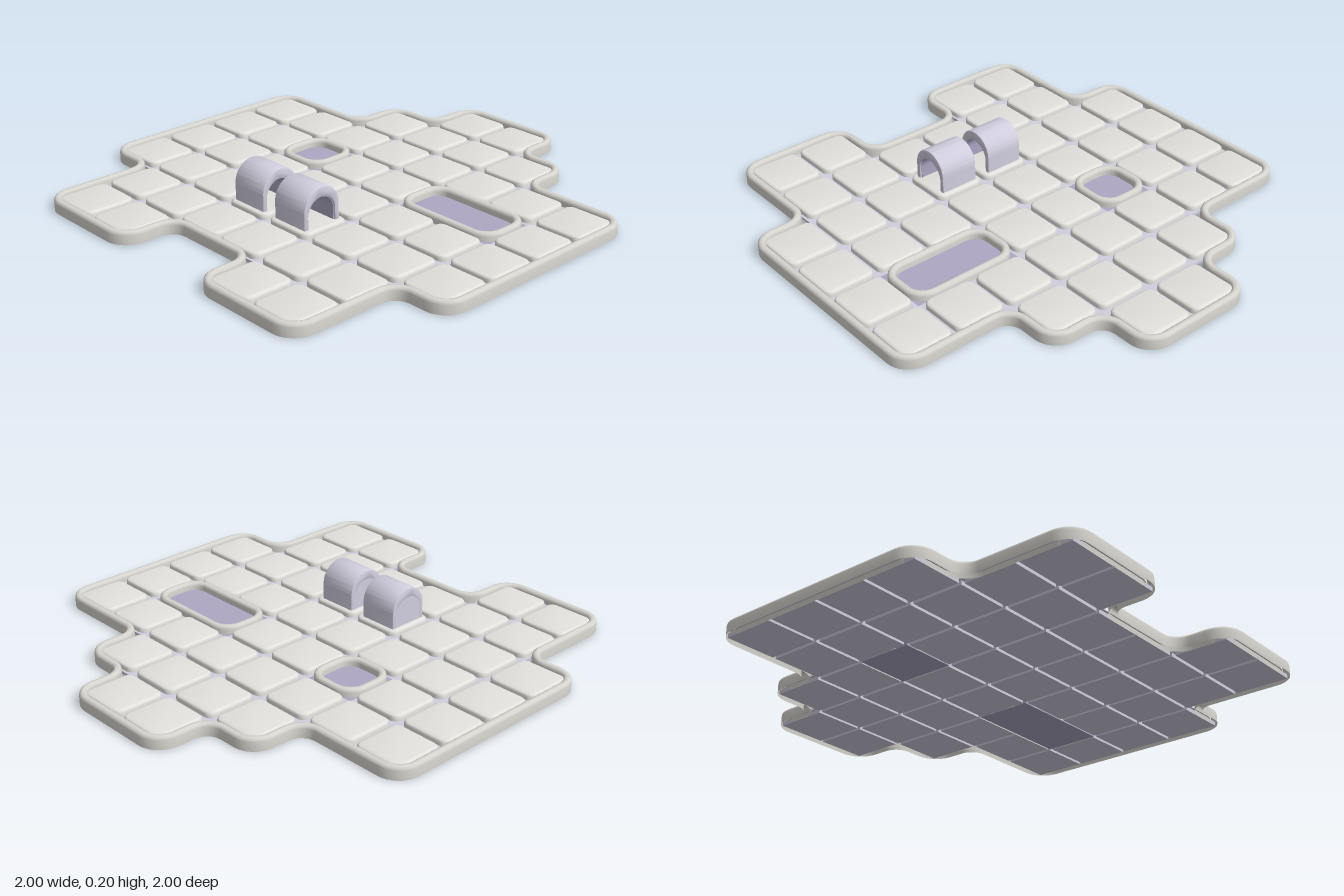
import * as THREE from 'three';
import { mergeGeometries, toCreasedNormals } from 'three/addons/utils/BufferGeometryUtils.js';

const CELL = 0.243;
const mat = (name, color, side = THREE.FrontSide) =>
  Object.assign(new THREE.MeshStandardMaterial({ color, side }), { name });
const tileGrey = mat('tile grey', 0xe2e1dd);
const rimGrey = mat('rim grey', 0xd6d4ce, THREE.DoubleSide);
const lavender = mat('lavender', 0xd0cede, THREE.DoubleSide);
const purple = mat('deep purple', 0xada7c3);

// Right-angled outline in (x, z) with rounded corners; each sample carries its outward direction
function roundedPath(corners, offset, convexR, concaveR, steps = 8) {
  const out = [];
  const n = corners.length;
  corners.forEach(([x, z], i) => {
    const [px, pz] = corners[(i + n - 1) % n];
    const [qx, qz] = corners[(i + 1) % n];
    const d1 = new THREE.Vector2(x - px, z - pz).normalize();
    const d2 = new THREE.Vector2(qx - x, qz - z).normalize();
    const n1 = new THREE.Vector2(d1.y, -d1.x);
    const n2 = new THREE.Vector2(d2.y, -d2.x);
    const convex = d1.cross(d2) > 0;
    const r = convex ? convexR : -concaveR;
    const center = new THREE.Vector2(x, z).addScaledVector(n1, offset - r).addScaledVector(n2, offset - r);
    const count = r === 0 ? 0 : steps;
    for (let k = 0; k <= count; k++) {
      const a = count ? (k / count) * Math.PI / 2 : Math.PI / 4;
      const m = n1.clone().multiplyScalar(Math.cos(a)).addScaledVector(n2, Math.sin(a));
      out.push({ p: center.clone().addScaledVector(m, r), m });
    }
  });
  return out;
}

// Carry a profile of [outward, height] points round a closed path
function sweep(path, profile) {
  const pos = [], index = [];
  const P = profile.length, N = path.length;
  path.forEach(({ p, m }, i) => {
    profile.forEach(([o, y]) => pos.push(p.x + m.x * o, y, p.y + m.y * o));
    for (let j = 0; j < P - 1; j++) {
      const a = i * P + j, c = ((i + 1) % N) * P + j;
      index.push(a, a + 1, c, a + 1, c + 1, c);
    }
  });
  const g = new THREE.BufferGeometry();
  g.setAttribute('position', new THREE.Float32BufferAttribute(pos, 3));
  g.setIndex(index);
  return toCreasedNormals(g, 0.7);
}

// Flat face filling a path, facing up
function cap(path, offset, y, holes = []) {
  const toPoints = (q, o) => q.map(({ p, m }) => new THREE.Vector2(p.x + m.x * o, -(p.y + m.y * o)));
  const shape = new THREE.Shape(toPoints(path, offset));
  holes.forEach(h => shape.holes.push(new THREE.Path(toPoints(h, 0))));
  const g = new THREE.ShapeGeometry(shape).toNonIndexed();
  g.deleteAttribute('uv');
  return g.rotateX(-Math.PI / 2).translate(0, y, 0);
}

const rect = (x0, z0, x1, z1) => [[x0, z0], [x1, z0], [x1, z1], [x0, z1]].map(c => c.map(v => v * CELL));

// Arch outline standing on y = base; an inner radius cuts the tunnel
function archShape(r, cy, base, innerR, innerCy) {
  const s = new THREE.Shape();
  s.moveTo(r, base);
  s.lineTo(r, cy);
  s.absarc(0, cy, r, 0, Math.PI, false);
  s.lineTo(-r, base);
  if (innerR) {
    s.lineTo(-innerR, base);
    s.lineTo(-innerR, innerCy);
    s.absarc(0, innerCy, innerR, Math.PI, 0, true);
    s.lineTo(innerR, base);
  }
  return s;
}

function archGeometry(shape, x0, length, bevel = 0) {
  const g = new THREE.ExtrudeGeometry(shape, {
    depth: length - 2 * bevel, curveSegments: 20, bevelEnabled: bevel > 0,
    bevelSize: bevel, bevelThickness: bevel, bevelOffset: -bevel, bevelSegments: 2,
  });
  return toCreasedNormals(g.rotateY(Math.PI / 2).translate(x0 + bevel, 0, 0), 0.6);
}

export function createModel() {
  const model = new THREE.Group();
  model.name = 'tiledPlatform';
  const add = (name, geometry, material, parent = model) => {
    const mesh = new THREE.Mesh(geometry, material);
    mesh.name = name;
    parent.add(mesh);
    return mesh;
  };

  // Stepped outline and the two pools, in cells
  const outline = [
    [-1, -4], [1, -4], [1, -3], [2, -3], [2, -2], [4, -2], [4, 2], [3, 2], [3, 4], [1, 4],
    [1, 3], [-1, 3], [-1, 4], [-3, 4], [-3, 2], [-4, 2], [-4, -2], [-2, -2], [-2, -3], [-1, -3],
  ].map(c => c.map(v => v * CELL));
  const pools = [[-2, -1, -1, 0], [1, -1, 3, 0]];

  // Grout sheet between the tiles
  const holes = pools.map(p => roundedPath(rect(...p), 0, 0, 0));
  add('grout', cap(roundedPath(outline, 0, 0.08, 0), 0, 0.02, holes), lavender);

  // Rounded rims, open underneath
  const rimProfile = [
    [0.0165, 0], [0.0165, 0.04], [0.0145, 0.048], [0.008, 0.0535], [0, 0.055],
    [-0.008, 0.0535], [-0.0145, 0.048], [-0.0165, 0.04], [-0.0165, 0],
  ];
  add('outerRim', sweep(roundedPath(outline, 0.011, 0.085, 0.085), rimProfile), rimGrey);
  pools.forEach(([x0, z0, x1, z1]) => {
    add('poolRim', sweep(roundedPath(rect(x0, z0, x1, z1), -0.011, 0.075, 0), rimProfile), rimGrey);
    const floor = add('poolFloor', new THREE.BoxGeometry((x1 - x0) * CELL, 0.02, (z1 - z0) * CELL), purple);
    floor.position.set((x0 + x1) / 2 * CELL, 0.01, (z0 + z1) / 2 * CELL);
  });

  // Softly domed tiles, each on a square base block
  const h = 0.111 / CELL;
  const tilePath = roundedPath(rect(-h, -h, h, h), 0, 0.032, 0, 5);
  const tileGeometry = toCreasedNormals(mergeGeometries([
    sweep(tilePath, [[0, 0.015], [0, 0.034], [-0.0015, 0.039], [-0.005, 0.043], [-0.011, 0.045]]),
    cap(tilePath, -0.011, 0.045),
  ]), 0.7);
  const blockGeometry = new THREE.BoxGeometry(0.228, 0.018, 0.228);
  const rowHalfWidths = [1, 2, 4, 4, 4, 4, 3, 3];
  const isPool = (x, z) => pools.some(([a, b, c, d]) => x > a && x < c && z > b && z < d);
  rowHalfWidths.forEach((half, row) => {
    const z = row - 3.5;
    for (let x = -half + 0.5; x < half; x++) {
      if (isPool(x, z) || (row === 7 && Math.abs(x) < 1)) continue;
      add('tile', tileGeometry, tileGrey).position.set(x * CELL, 0, z * CELL);
      add('tileBase', blockGeometry, lavender).position.set(x * CELL, 0.009, z * CELL);
    }
  });

  // Two small arched shelters, open on the left end only
  const shell = archGeometry(archShape(0.09, 0.115, 0.04, 0.068, 0.094), -0.0875, 0.175, 0.006);
  const backWall = archGeometry(archShape(0.074, 0.1, 0.04), -0.0865, 0.012);
  const lining = archGeometry(archShape(0.07, 0.094, 0.04, 0.065, 0.094), -0.078, 0.157);
  const innerWall = archGeometry(archShape(0.067, 0.094, 0.04), -0.076, 0.006);
  [-0.5, 0.5].forEach(x => {
    const shelter = new THREE.Group();
    shelter.name = 'archedShelter';
    shelter.position.set(x * CELL - 0.003, 0, 1.5 * CELL);
    add('shelterShell', shell, lavender, shelter);
    add('shelterBackWall', backWall, lavender, shelter);
    add('shelterLining', lining, purple, shelter);
    add('shelterInnerWall', innerWall, purple, shelter);
    model.add(shelter);
  });

  return model;
}
